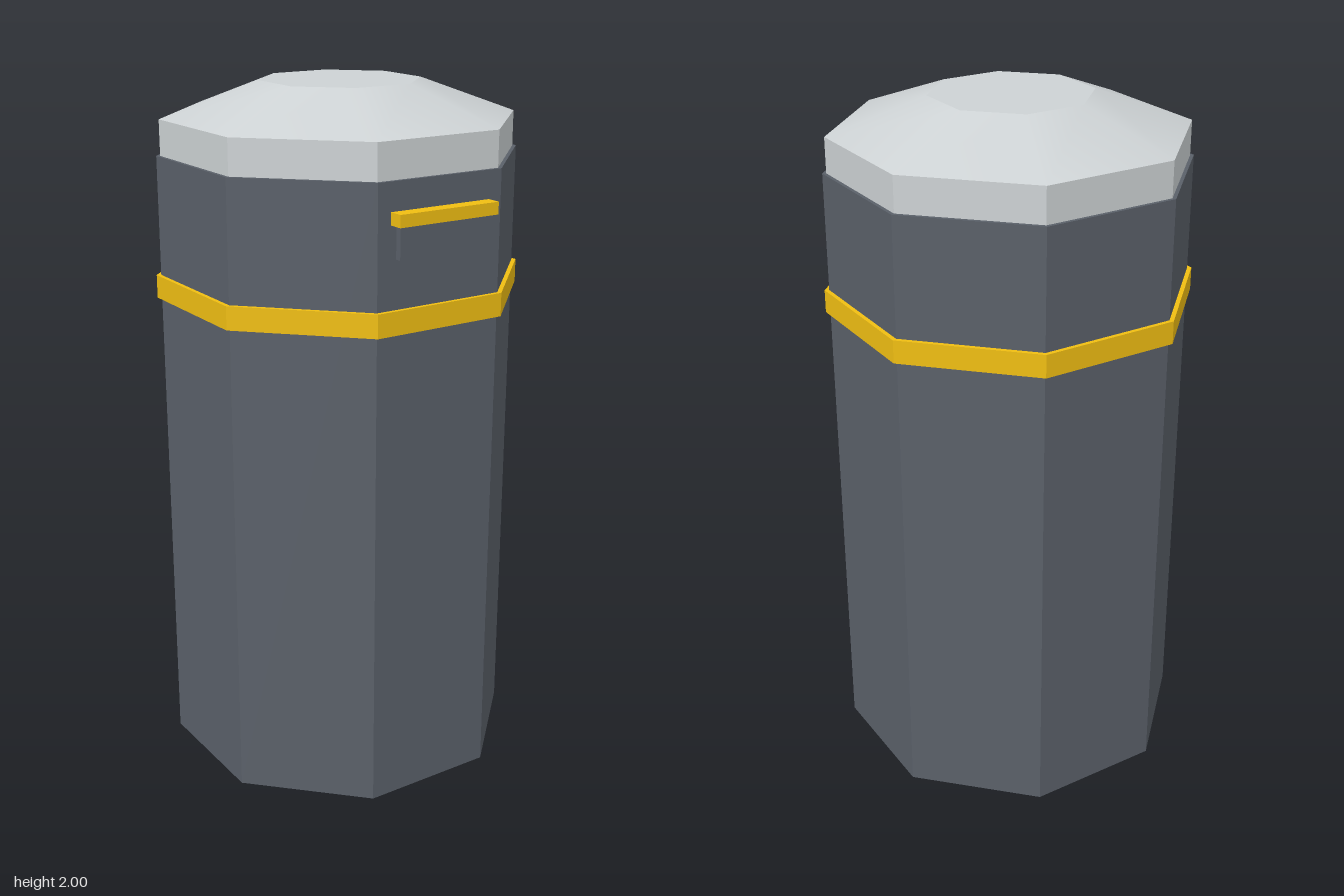
import * as THREE from 'three';

const CENTRE_Z = -0.015;

export function createModel() {
  const model = new THREE.Group();
  const paint = (color, flatShading = true) =>
    new THREE.MeshStandardMaterial({ color, flatShading });
  const dark = paint(0x5a6069);
  const yellow = paint(0xf0be12);
  const pale = paint(0xcdd2d4);
  const paleSmooth = paint(0xcdd2d4, false);

  const add = (name, geometry, material, x, y, z) => {
    const mesh = new THREE.Mesh(geometry, material);
    mesh.name = name;
    mesh.position.set(x, y, z);
    model.add(mesh);
  };

  // Eight-sided prism with flat faces to the front; sizes are half widths across flats
  const octagon = (name, topHalf, bottomHalf, y0, y1, material) => {
    const k = 1 / Math.cos(Math.PI / 8);
    const geometry = new THREE.CylinderGeometry(topHalf * k, bottomHalf * k, y1 - y0, 8);
    geometry.rotateY(Math.PI / 8);
    add(name, geometry, material, 0, (y0 + y1) / 2, CENTRE_Z);
  };

  // Bin body, raised band and lid
  octagon('body', 0.478, 0.478, 0, 1.8, dark);
  octagon('band', 0.49, 0.49, 1.397, 1.463, yellow);
  octagon('lidRim', 0.468, 0.468, 1.8, 1.9, pale);
  octagon('lidTop', 0.213, 0.468, 1.9, 2, paleSmooth);

  // Slot panel with a yellow lip above it
  add('slotPanel', new THREE.BoxGeometry(0.28, 0.1, 0.04), dark, 0, 1.647, 0.461);
  add('slotLip', new THREE.BoxGeometry(0.316, 0.034, 0.06), yellow, 0, 1.705, 0.475);

  return model;
}
